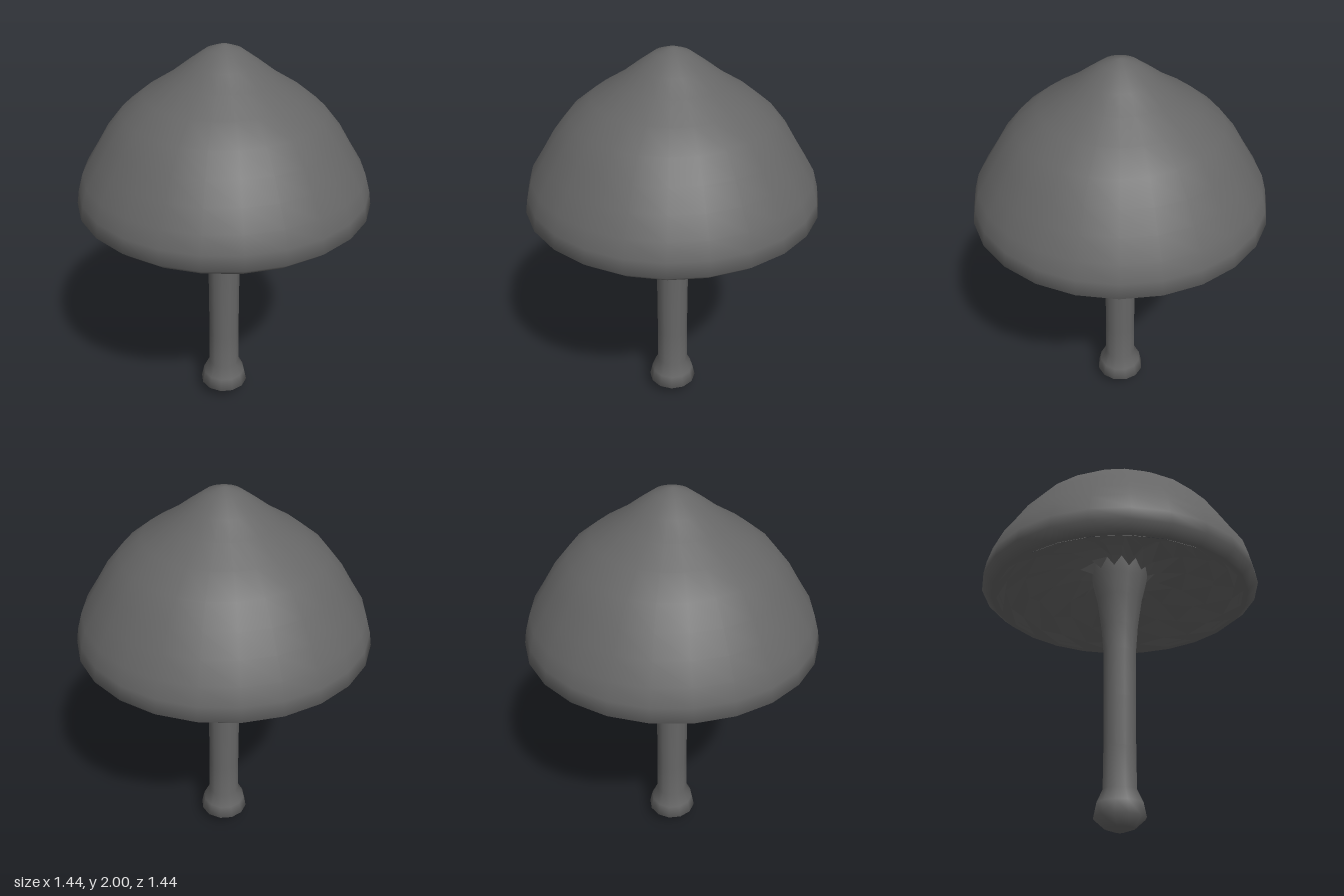
import * as THREE from 'three';

const material = new THREE.MeshStandardMaterial({ color: 0x666666 });
const gillMaterial = new THREE.MeshStandardMaterial({ color: 0x666666, flatShading: true, side: THREE.DoubleSide });

function lathe(name, profile, segments, surface = material) {
  const points = profile.map(([r, y]) => new THREE.Vector2(r, y));
  const mesh = new THREE.Mesh(new THREE.LatheGeometry(points, segments), surface);
  mesh.name = name;
  return mesh;
}

export function createModel() {
  const model = new THREE.Group();
  model.name = 'mushroom';

  // Cap: rolled rim, then the bell-shaped top
  model.add(lathe('cap', [
    [0.63, 1.215], [0.645, 1.203], [0.668, 1.196], [0.722, 1.24], [0.71, 1.31], [0.685, 1.395],
    [0.625, 1.49], [0.565, 1.59], [0.485, 1.688], [0.38, 1.772], [0.26, 1.847], [0.17, 1.915],
    [0.085, 1.975], [0.02, 1.998], [0, 2],
  ], 24));

  // Stem: rounded bulb, slim shaft, flare into the gills
  model.add(lathe('stem', [
    [0, 0], [0.02, 0.003], [0.073, 0.02], [0.128, 0.068], [0.114, 0.135], [0.083, 0.2], [0.081, 0.4],
    [0.082, 0.65], [0.084, 0.9], [0.095, 1.04], [0.118, 1.2], [0.145, 1.31], [0.155, 1.4],
  ], 12));

  // Gills: a pleated underside; each row is radius, ridge height, pleat depth
  const rows = [
    [0.1, 1.325, 0.05], [0.15, 1.34, 0.055], [0.22, 1.352, 0.06], [0.36, 1.33, 0.06],
    [0.5, 1.272, 0.045], [0.6, 1.222, 0.02], [0.646, 1.201, 0],
  ];
  const gills = lathe('gills', rows, 24, gillMaterial);
  const position = gills.geometry.attributes.position;
  for (let i = 0; i < position.count; i++) {
    const column = Math.floor(i / rows.length);
    if (column % 2) position.setY(i, position.getY(i) + rows[i % rows.length][2]);
  }
  gills.geometry.computeVertexNormals();
  model.add(gills);

  return model;
}
